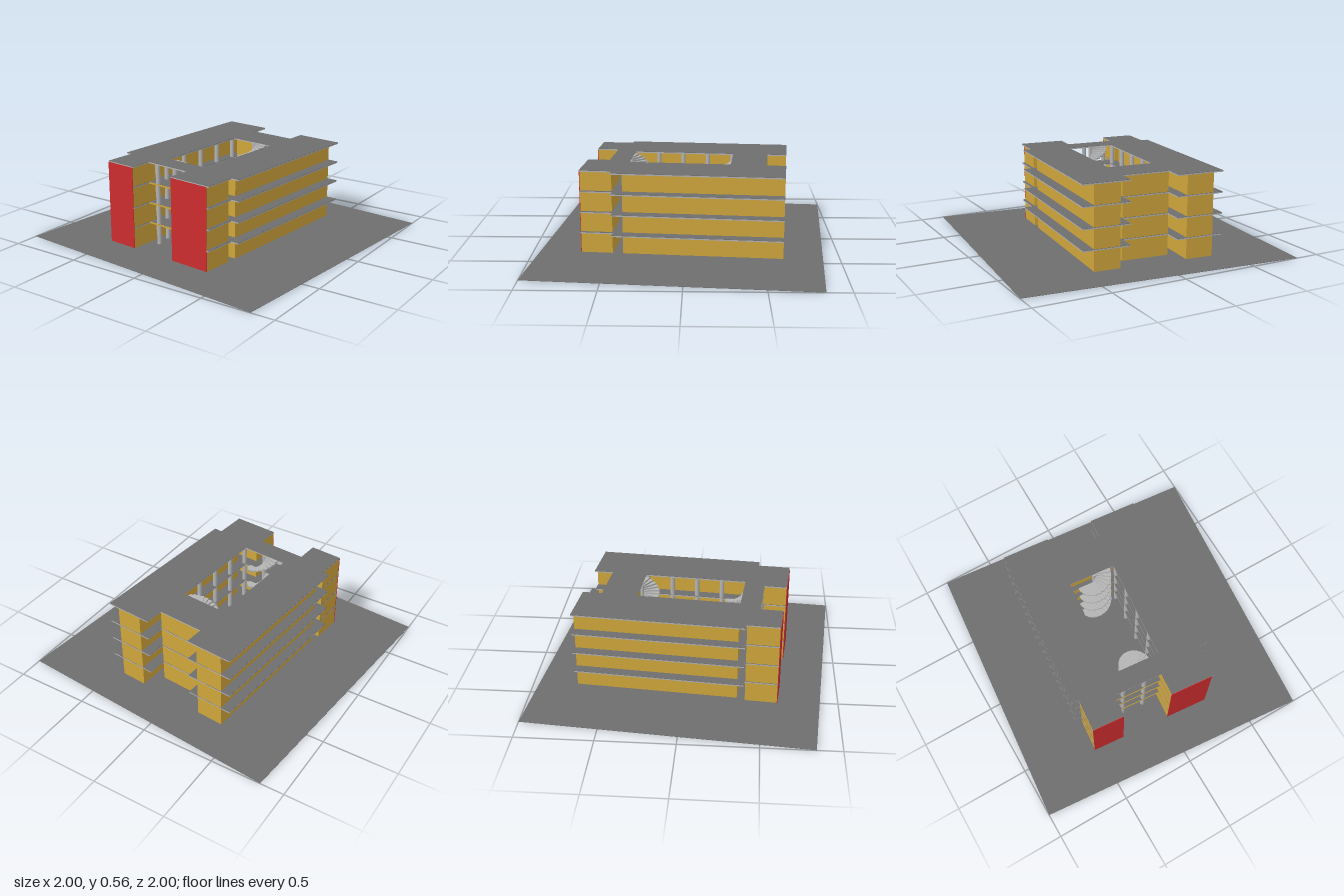
import * as THREE from 'three';

const material = (name, color) => {
  const m = new THREE.MeshStandardMaterial({ color });
  m.name = name;
  return m;
};

export function createModel() {
  const dark = material('dark grey', 0x6e6e6e);
  const light = material('light grey', 0xb4b4b4);
  const yellow = material('ochre yellow', 0xd0a63c);
  const red = material('red', 0xcb2c2e);

  const model = new THREE.Group();
  model.name = 'courtyardBuilding';
  model.rotation.y = -0.0868; // the whole site is turned slightly

  const add = (name, geometry, mat, parent = model) => {
    const mesh = new THREE.Mesh(geometry, mat);
    mesh.name = name;
    parent.add(mesh);
    return mesh;
  };
  // box given by its limits
  const box = (name, x0, x1, y0, y1, z0, z1, mat) =>
    add(name, new THREE.BoxGeometry(x1 - x0, y1 - y0, z1 - z0), mat)
      .position.set((x0 + x1) / 2, (y0 + y1) / 2, (z0 + z1) / 2);
  // horizontal plate extruded upward from a plan outline of [x, z] points
  const plan = (points) => points.map(([x, z]) => new THREE.Vector2(x, -z));
  const plate = (shape, y, height) =>
    new THREE.ExtrudeGeometry(shape, { depth: height, bevelEnabled: false, curveSegments: 4 })
      .rotateX(-Math.PI / 2).translate(0, y, 0);

  // ground
  box('ground', -0.9235, 0.9235, 0.001, 0.003, -0.9235, 0.9235, dark);

  // room blocks: x0, x1, z0, z1
  const blocks = [
    ['rightWing', 0.195, 0.37, -0.67, 0.375],
    ['leftWing', -0.445, -0.26, -0.67, 0.39],
    ['backRooms', -0.193, 0.127, -0.542, -0.34],
    ['frontRightRooms', 0.084, 0.37, 0.443, 0.65],
    ['frontLeftRooms', -0.463, -0.25, 0.443, 0.65],
  ];
  for (const [name, x0, x1, z0, z1] of blocks) {
    box(name, x0, x1, 0.0006, 0.552, z0, z1, yellow);
    box(name + 'Floor', x0 + 0.005, x1 - 0.005, 0, 0.001, z0 + 0.005, z1 - 0.005, light);
  }

  // red front faces
  box('frontRightFacade', 0.084, 0.37, 0.003, 0.552, 0.65, 0.654, red);
  box('frontLeftFacade', -0.465, -0.25, 0.003, 0.552, 0.65, 0.654, red);

  // floor slabs and roof, with a courtyard opening
  const outline = new THREE.Shape(plan([
    [-0.512, -0.671], [-0.193, -0.671], [-0.193, -0.543], [0.128, -0.543],
    [0.128, -0.671], [0.444, -0.671], [0.444, 0.437], [0.387, 0.437],
    [0.387, 0.651], [0.083, 0.651], [0.083, 0.504], [-0.248, 0.504],
    [-0.248, 0.651], [-0.465, 0.651], [-0.465, 0.437], [-0.512, 0.437],
  ]));
  outline.holes.push(new THREE.Path(plan([
    [-0.19, -0.308], [-0.19, 0.371], [0.126, 0.371], [0.126, -0.308],
  ])));
  const storey = 0.138;
  for (let i = 1; i <= 4; i++) {
    const top = 0.008 + storey * i;
    const name = i === 4 ? 'roof' : 'floorSlab' + i;
    add(name, plate(outline, top - 0.01, 0.008), light);
    add(name + 'Top', plate(outline, top - 0.002, 0.002), dark);
    // coloured edge of the front landing
    if (i < 4) box('landingEdge' + i, -0.248, 0.083, top - 0.01, top, 0.504, 0.507, yellow);
  }

  // round columns along the courtyard and the front landing
  const columns = [[-0.18, 0.49], [-0.03, 0.49]];
  for (const x of [-0.205, 0.141]) {
    for (let i = 0; i < 5; i++) columns.push([x, -0.3 + i * 0.17]);
  }
  for (const [x, z] of columns) {
    add('column', new THREE.CylinderGeometry(0.015, 0.015, 0.552, 16), light)
      .position.set(x, 0.276, z);
  }

  // half-turn spiral stairs at both ends of the courtyard
  const steps = 12;
  const stair = (name, x, z, start) => {
    const group = new THREE.Group();
    group.name = name;
    group.position.set(x, 0, z);
    model.add(group);
    add('stairPost', new THREE.CylinderGeometry(0.012, 0.012, 0.55, 16), light, group)
      .position.y = 0.276;
    for (let f = 0; f < 4; f++) {
      for (let i = 0; i < steps; i++) {
        const a0 = start + (i / steps) * Math.PI;
        const a1 = start + ((i + 1) / steps) * Math.PI;
        const tread = new THREE.Shape();
        tread.absarc(0, 0, 0.115, a0, a1, false);
        tread.lineTo(0, 0);
        const y = 0.004 + storey * (f + i / steps);
        add('stairTread', plate(tread, y, storey / steps), light, group);
      }
    }
  };
  stair('frontStair', -0.03, 0.372, 0);
  stair('backStair', -0.018, -0.309, Math.PI);

  // low red block at the entrance
  box('entranceBlock', -0.14, -0.08, 0, 0.013, 0.38, 0.425, red);

  const root = new THREE.Group();
  root.name = 'building';
  root.add(model);
  return root;
}
